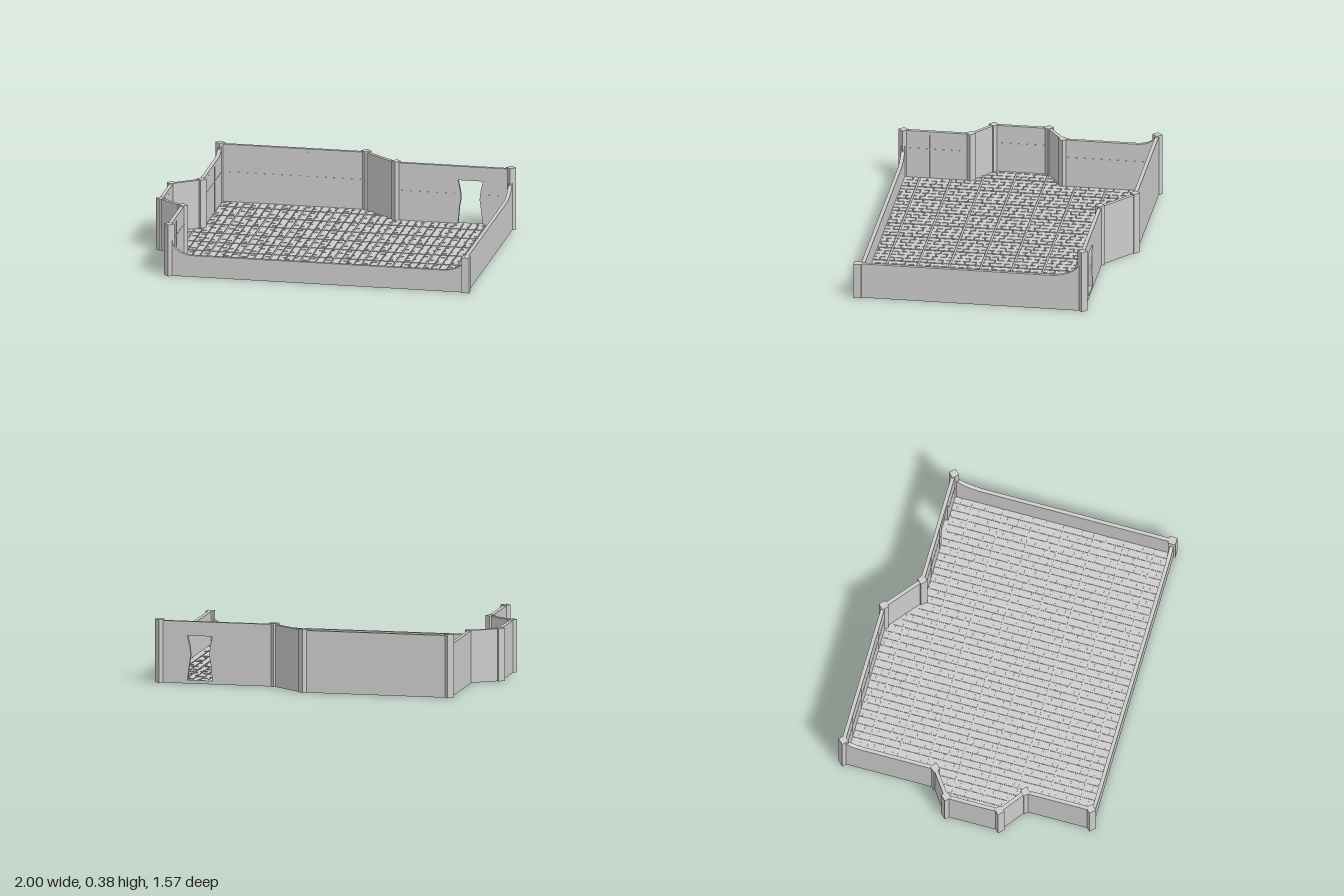
import * as THREE from 'three';
import { mergeGeometries } from 'three/addons/utils/BufferGeometryUtils.js';

const material = new THREE.MeshStandardMaterial({ color: 0xcccccc, flatShading: true, side: THREE.DoubleSide });

// Corner posts, clockwise from the back left: x, z, post height
const corners = [
  [-0.815, -0.755, 0.378], [0.06, -0.755, 0.378], [0.275, -0.58, 0.378], [0.965, -0.58, 0.378],
  [0.965, 0.755, 0.215], [-0.815, 0.755, 0.315], [-0.815, 0.355, 0.315], [-0.97, 0.24, 0.315],
  [-0.97, -0.085, 0.315], [-0.815, -0.195, 0.315],
];
const TILE = 0.185, GRID_X = -1.03, GRID_Z = -0.825, WALL = 0.022;

// Quarter-ellipse sweep falling from (u0, high) to (u1, low)
function sweep(u0, u1, high, low) {
  return Array.from({ length: 9 }, (_, i) => {
    const a = (i / 8) * Math.PI / 2;
    return [u0 + (u1 - u0) * (1 - Math.cos(a)), high - (high - low) * Math.sin(a)];
  });
}

// Flat wall between two corners; top is a list of [u, y] along its upper edge
function makeWall(name, a, b, top, { hole, panels } = {}) {
  const dx = b[0] - a[0], dz = b[1] - a[1], length = Math.hypot(dx, dz);
  const edge = typeof top === 'number' ? [[0, top], [length, top]] : top(length);
  const shape = new THREE.Shape([[0, 0], ...edge, [length, 0]].map(p => new THREE.Vector2(...p)));
  if (hole) shape.holes.push(new THREE.Path(hole.map(p => new THREE.Vector2(p[0] - a[0], p[1]))));
  const geometry = new THREE.ExtrudeGeometry(shape, { depth: WALL, bevelEnabled: false });
  geometry.translate(0, 0, -WALL / 2);
  const group = new THREE.Group();
  group.name = name;
  group.add(new THREE.Mesh(geometry, material));
  group.children[0].name = name + 'Panel';

  // Slim raised seams on the inner face
  if (panels) {
    const height = Math.min(edge[0][1], edge[edge.length - 1][1]);
    const parts = [];
    const seam = (w, h, x, y) => parts.push(new THREE.BoxGeometry(w, h, 0.003).translate(x, y, WALL / 2));
    const spans = hole ? [[0, hole[0][0] - a[0] - 0.02], [hole[1][0] - a[0] + 0.02, length]] : [[0, length]];
    for (const [s, e] of spans) {
      seam(e - s, 0.006, (s + e) / 2, 0.2);
      for (let u = 0.155; u < length - 0.03; u += TILE) {
        if (u > s && u < e) seam(0.006, height - 0.02, u, (height - 0.02) / 2);
      }
    }
    const mesh = new THREE.Mesh(mergeGeometries(parts), material);
    mesh.name = name + 'Seams';
    group.add(mesh);
  }
  group.position.set(a[0], 0, a[1]);
  group.rotation.y = Math.atan2(-dz, dx);
  return group;
}

// Depth range of the floor at a given x
function floorRange(x) {
  const lerp = (a, b) => a[1] + (b[1] - a[1]) * THREE.MathUtils.clamp((x - a[0]) / (b[0] - a[0]), 0, 1);
  if (x < -0.815) return [lerp(corners[8], corners[9]), lerp(corners[7], corners[6])];
  return [x < 0.275 ? lerp(corners[1], corners[2]) : -0.58, 0.755];
}

// Staggered planks, four columns to each square tile
function makePlanks() {
  const joints = [[0, 0.62, 1], [0, 0.27, 0.75, 1], [0, 0.42, 1], [0, 0.2, 0.55, 0.82, 1]];
  const parts = [], gap = 0.005, column = TILE / 4;
  for (let i = 0; i < 11 * 4; i++) {
    const tileX = Math.floor(i / 4), k = i % 4;
    const left = Math.max(GRID_X + i * column + (k === 0 ? gap : gap / 2), -0.97);
    const right = Math.min(GRID_X + (i + 1) * column - (k === 3 ? gap : gap / 2), 0.96);
    if (right - left < 0.006) continue;
    const l = floorRange(left), r = floorRange(right);
    const zMin = Math.max(l[0], r[0]), zMax = Math.min(l[1], r[1]);
    for (let j = 0; j < 9; j++) {
      const cuts = joints[(k + (tileX + j) % 2 * 2) % 4];
      for (let n = 0; n < cuts.length - 1; n++) {
        const first = n === 0 ? gap : gap / 2, last = n === cuts.length - 2 ? gap : gap / 2;
        const back = Math.max(zMin, GRID_Z + (j + cuts[n]) * TILE + first);
        const front = Math.min(zMax, GRID_Z + (j + cuts[n + 1]) * TILE - last);
        if (front - back < 0.006) continue;
        parts.push(new THREE.BoxGeometry(right - left, 0.016, front - back)
          .translate((left + right) / 2, 0.012, (back + front) / 2));
      }
    }
  }
  const mesh = new THREE.Mesh(mergeGeometries(parts), material);
  mesh.name = 'floorPlanks';
  return mesh;
}

export function createModel() {
  const model = new THREE.Group();
  model.name = 'walledRoom';

  // Floor slab
  const outline = new THREE.Shape(corners.map(([x, z]) => new THREE.Vector2(x, -z)));
  const slab = new THREE.ExtrudeGeometry(outline, { depth: 0.006, bevelEnabled: false });
  slab.rotateX(-Math.PI / 2).translate(0, 0.009, 0);
  const floor = new THREE.Mesh(slab, material);
  floor.name = 'floorSlab';
  model.add(floor, makePlanks());

  // Posts: turned 45 degrees, except the square one at the low corner
  corners.forEach(([x, z, height], i) => {
    const side = i === 4 ? 0.046 : 0.043;
    const post = new THREE.Mesh(new THREE.BoxGeometry(side, height, side), material);
    post.name = 'cornerPost' + (i + 1);
    post.position.set(x, height / 2, z);
    if (i !== 4) post.rotation.y = Math.PI / 4;
    model.add(post);
  });

  // Ragged doorway in the back wall
  const doorway = [
    [0.648, 0.285], [0.798, 0.285], [0.783, 0.22], [0.778, 0.17], [0.785, 0.12], [0.798, 0.02],
    [0.648, 0.02], [0.657, 0.12], [0.666, 0.17], [0.662, 0.22],
  ];

  // Walls, in corner order
  const walls = [
    ['backWall', 0.37, { panels: true }],
    ['diagonalWall', 0.37],
    ['doorWall', 0.37, { hole: doorway, panels: true }],
    ['lowSideWall', n => [...sweep(0.01, 0.19, 0.32, 0.215), [n, 0.215]]],
    ['frontWall', n => [...sweep(0, 0.14, 0.215, 0.13), ...sweep(n - 0.02, n - 0.15, 0.215, 0.13).reverse(), [n, 0.215]]],
    ['frontSideWall', 0.312, { panels: true }],
    ['bayFrontWall', 0.312],
    ['bayOuterWall', 0.312, { panels: true }],
    ['bayBackWall', 0.312],
    ['backSideWall', n => [[0, 0.312], ...sweep(n - 0.02, n - 0.12, 0.36, 0.312).reverse(), [n, 0.36]], { panels: true }],
  ];
  walls.forEach(([name, top, options], i) => {
    model.add(makeWall(name, corners[i], corners[(i + 1) % corners.length], top, options));
  });
  return model;
}
